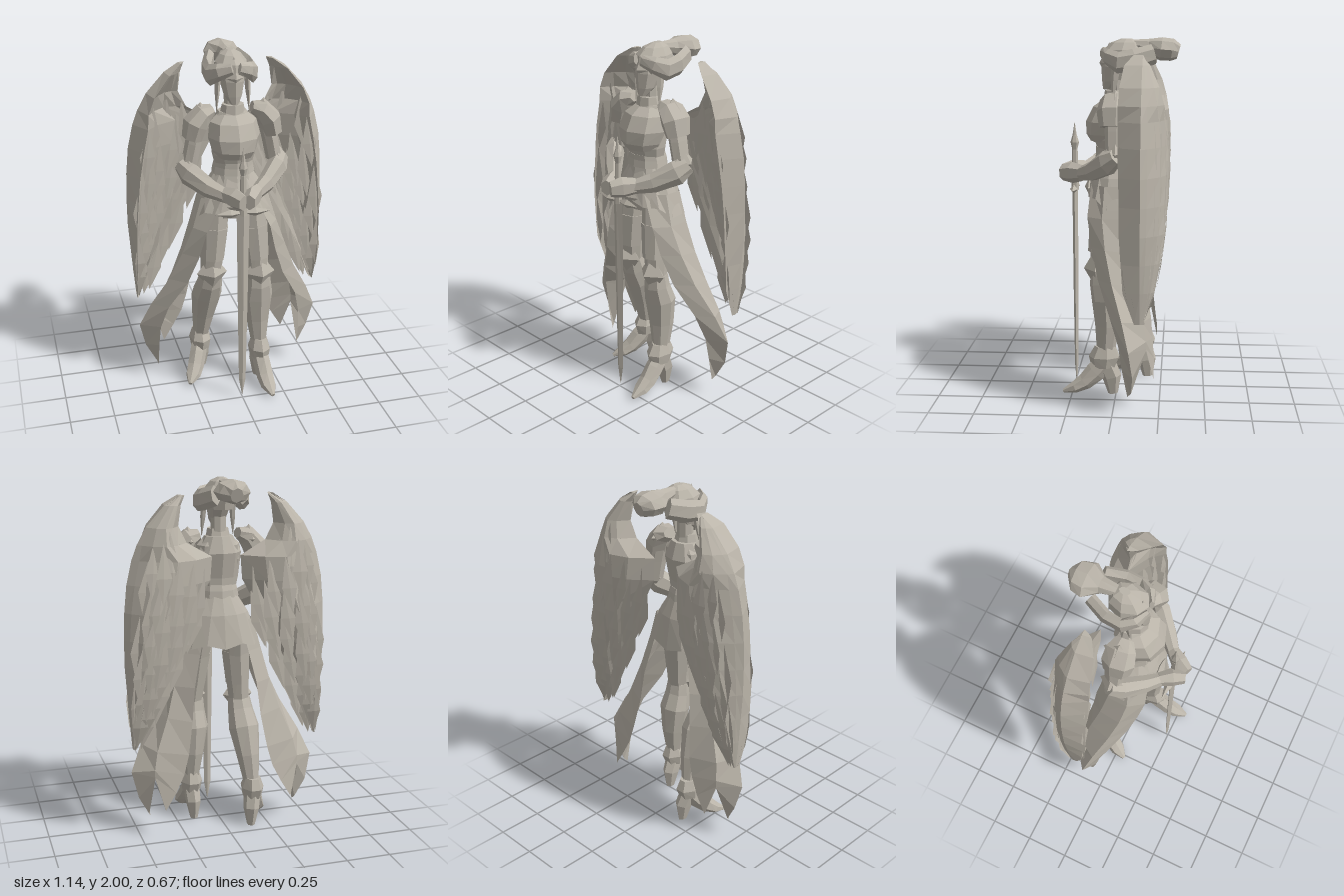
import * as THREE from 'three';

const stone = new THREE.MeshStandardMaterial({ color: 0xbab4a9, flatShading: true, side: THREE.DoubleSide });
stone.name = 'stone';
const V = (x, y, z) => new THREE.Vector3(x, y, z);
const mix = (a, b, t) => a + (b - a) * t;

// flat-shaded mesh from a list of triangle corners
function facets(name, pts) {
  const g = new THREE.BufferGeometry().setFromPoints(pts);
  g.computeVertexNormals();
  const m = new THREE.Mesh(g, stone);
  m.name = name;
  return m;
}

// skin between rings of points; closed rings get end caps and face outward
function loft(name, rings, closed = true) {
  const tris = [], n = rings[0].length;
  for (let r = 0; r < rings.length - 1; r++)
    for (let i = 0; i < (closed ? n : n - 1); i++) {
      const j = (i + 1) % n, A = rings[r], B = rings[r + 1];
      tris.push(A[i], B[i], B[j], A[i], B[j], A[j]);
    }
  if (closed) {
    const L = rings[rings.length - 1];
    for (let i = 1; i < n - 1; i++) tris.push(rings[0][0], rings[0][i], rings[0][i + 1], L[0], L[i + 1], L[i]);
    let vol = 0;
    for (let i = 0; i < tris.length; i += 3) vol += tris[i].dot(V().crossVectors(tris[i + 1], tris[i + 2]));
    if (vol < 0) tris.reverse();
  }
  return facets(name, tris);
}

// solid along stations [x, y, z, half width, half depth], with a ridge on the front
function limb(name, st, sides = 8) {
  const c = st.map(s => V(s[0], s[1], s[2]));
  const whole = c[c.length - 1].clone().sub(c[0]).normalize();
  const ref = Math.abs(whole.z) > 0.6 ? V(0, 1, 0) : V(0, 0, 1);
  return loft(name, st.map((s, k) => {
    const t = c[Math.min(k + 1, c.length - 1)].clone().sub(c[Math.max(k - 1, 0)]).normalize();
    const a = V().crossVectors(t, ref).normalize(), b = V().crossVectors(a, t);
    return Array.from({ length: sides }, (_, i) => {
      const q = i / sides * Math.PI * 2;
      return c[k].clone().addScaledVector(a, Math.sin(q) * s[3]).addScaledVector(b, Math.cos(q) * s[4]);
    });
  }));
}

// upright solid on level rings [y, half width, half depth, centre z]
function upright(name, st, sides = 10, x = 0) {
  return loft(name, st.map(([y, rx, rz, z]) => Array.from({ length: sides }, (_, i) => {
    const q = i / sides * Math.PI * 2;
    return V(x + Math.sin(q) * rx, y, z + Math.cos(q) * rz);
  })));
}

// pointed plate
function gem(name, x, y, z, a, b, c) {
  const m = new THREE.Mesh(new THREE.OctahedronGeometry(1), stone);
  m.name = name;
  m.position.set(x, y, z);
  m.scale.set(a, b, c);
  return m;
}

// wing levels: y, inner x, outer x, back z, front z
const WING = [
  [1.91, 0.23, 0.26, -0.13, -0.1], [1.86, 0.25, 0.34, -0.19, -0.055], [1.75, 0.265, 0.44, -0.24, -0.035],
  [1.66, 0.22, 0.49, -0.265, -0.03], [1.58, 0.08, 0.52, -0.28, -0.03], [1.45, 0.09, 0.55, -0.288, -0.03],
  [1.3, 0.17, 0.565, -0.29, -0.035], [1.15, 0.24, 0.57, -0.285, -0.04], [1.0, 0.32, 0.57, -0.275, -0.04],
  [0.85, 0.4, 0.56, -0.255, -0.05], [0.7, 0.46, 0.55, -0.225, -0.06], [0.53, 0.52, 0.535, -0.16, -0.12]];
function wingPoint(y, t, back) {
  let k = 0;
  while (k < WING.length - 2 && WING[k + 1][0] > y) k++;
  const f = THREE.MathUtils.clamp((WING[k][0] - y) / (WING[k][0] - WING[k + 1][0]), 0, 1);
  const [, xi, xo, zb, zf] = WING[k].map((v, i) => mix(v, WING[k + 1][i], f));
  // the front is full near the top and hollow below, behind a rounded leading edge
  const u = Math.min(1, t / 0.85), hollow = THREE.MathUtils.clamp((1.85 - y) / 0.2, 0, 1);
  const front = mix(-0.15, zf, u ** mix(0.7, 3.5, hollow)) - 0.03 * hollow * Math.sin(Math.PI * u);
  return V(mix(xi, xo, t), y, back ? -0.15 + (zb + 0.15) * Math.sin(Math.PI * t) : front);
}

function wing() {
  const g = new THREE.Group();
  g.add(loft('wingShell', WING.map(([y]) => [
    ...[0, 0.25, 0.5, 0.75, 0.92, 1].map(t => wingPoint(y, t, true)),
    ...[0.85, 0.7, 0.45, 0.2].map(t => wingPoint(y, t, false))])));
  // overlapping rows of long feathers on both faces, hanging past the inner edge
  const tris = [];
  for (const back of [true, false])
    for (let row = 0; row < 7; row++)
      for (let i = 0; i < 5; i++) {
        const t = 0.03 + (i + (row % 2) * 0.45) / 5.6;
        const y = 1.7 - row * 0.14 - 0.04 * Math.sin(i * 2.3 + row);
        const y1 = Math.max(0.53, y - 0.34 - 0.05 * Math.sin(i * 4.1 + row * 1.7));
        const out = back ? -0.007 : 0.007, b = wingPoint(y, t, back), e = wingPoint(y1, t, back);
        const tip = V(Math.min(mix(b.x, e.x, 0.5) + 0.01, wingPoint(y1, 1, back).x), y1, e.z + out);
        const mid = wingPoint(mix(y, y1, 0.55), t, back), edge = wingPoint(mid.y, 1, back).x - 0.005;
        mid.x = Math.min(mix(b.x, tip.x, 0.55), edge);
        mid.z += out;
        const l = mid.clone(), r = mid.clone();
        l.x -= 0.045;
        r.x = Math.min(r.x + 0.04, edge);
        l.z -= out * 0.6;
        r.z -= out * 0.6;
        tris.push(b, l, mid, l, tip, mid, b, mid, r, mid, tip, r);
      }
  g.add(facets('feathers', tris));
  return g;
}

// long coat tail; four edges run from the hip to two ragged tips
function coatTail() {
  const rows = [
    [[0.1, 1.2, 0.14], [0.19, 1.2, 0.06], [0.19, 1.2, -0.04], [0.1, 1.2, -0.1]],
    [[0.18, 1.03, 0.155], [0.24, 1.03, 0.07], [0.235, 1.03, -0.05], [0.14, 1.03, -0.12]],
    [[0.22, 0.87, 0.13], [0.3, 0.87, 0.05], [0.28, 0.85, -0.08], [0.18, 0.85, -0.15]],
    [[0.28, 0.7, 0.09], [0.37, 0.7, 0.01], [0.33, 0.68, -0.12], [0.2, 0.66, -0.17]],
    [[0.38, 0.52, 0.02], [0.47, 0.52, -0.05], [0.4, 0.5, -0.16], [0.23, 0.48, -0.2]],
    [[0.42, 0.37, -0.03], [0.535, 0.37, -0.09], [0.42, 0.4, -0.18], [0.26, 0.37, -0.21]],
    [[0.43, 0.24, -0.05], [0.5, 0.22, -0.11], [0.42, 0.36, -0.18], [0.31, 0.27, -0.22]],
    [[0.43, 0.09, -0.08], [0.44, 0.11, -0.1], [0.42, 0.35, -0.18], [0.37, 0.17, -0.22]]];
  return loft('coatTail', rows.map(r => r.map(p => V(...p))), false);
}

function arm() {
  const g = new THREE.Group();
  g.add(limb('pauldron', [[0.11, 1.68, 0, 0.03, 0.05], [0.16, 1.665, 0.005, 0.055, 0.08], [0.205, 1.61, 0.01, 0.068, 0.09], [0.225, 1.53, 0.01, 0.055, 0.075]], 7));
  g.add(gem('pauldronCrest', 0.175, 1.65, 0, 0.075, 0.075, 0.085));
  g.add(limb('upperArm', [[0.19, 1.6, 0, 0.045, 0.055], [0.215, 1.5, 0, 0.045, 0.055], [0.24, 1.38, 0, 0.045, 0.05]], 7));
  g.add(gem('elbowGuard', 0.25, 1.39, -0.005, 0.06, 0.08, 0.07));
  g.add(limb('forearm', [[0.285, 1.38, -0.01, 0.04, 0.045], [0.25, 1.34, 0.04, 0.055, 0.07], [0.16, 1.28, 0.13, 0.048, 0.055], [0.07, 1.25, 0.21, 0.032, 0.038]], 7));
  g.add(limb('hand', [[0.09, 1.26, 0.19, 0.035, 0.045], [0.045, 1.255, 0.25, 0.048, 0.06], [0.015, 1.25, 0.31, 0.035, 0.045]], 6));
  return g;
}

// leg from hip to knee to ankle, then a heeled boot toward the toe
function leg(name, hip, knee, ankle, toe) {
  const g = new THREE.Group();
  g.name = name;
  const at = (p, q, t, rx, rz, bow = 0) => [mix(p[0], q[0], t), mix(p[1], q[1], t), mix(p[2], q[2], t) + bow, rx, rz];
  g.add(limb('thigh', [at(hip, knee, 0, 0.085, 0.1), at(hip, knee, 0.45, 0.075, 0.085, 0.01), at(hip, knee, 1, 0.06, 0.06)]));
  g.add(limb('thighPlate', [at(hip, knee, 0.3, 0.082, 0.092, 0.01), at(hip, knee, 0.75, 0.07, 0.08, 0.01)]));
  g.add(gem('kneeGuard', knee[0], knee[1] + 0.02, knee[2] + 0.03, 0.088, 0.12, 0.07));
  g.add(limb('greave', [at(knee, ankle, -0.02, 0.066, 0.06), at(knee, ankle, 0.12, 0.075, 0.07), at(knee, ankle, 0.3, 0.09, 0.083, -0.02),
    at(knee, ankle, 0.6, 0.068, 0.07, -0.02), at(knee, ankle, 1, 0.038, 0.045)]));
  g.add(upright('ankleCuff', [[0.28, 0.045, 0.06, ankle[2]], [0.22, 0.065, 0.09, ankle[2] + 0.005], [0.16, 0.055, 0.07, ankle[2] + 0.01]], 7, ankle[0]));
  // the boot drops steeply over the instep, then runs flat to the toe
  const boot = (t, y, rx, rz) => [mix(ankle[0], toe[0], t), y, mix(ankle[2], toe[2], t), rx, rz];
  g.add(limb('boot', [boot(0, 0.19, 0.048, 0.055), boot(0.22, 0.13, 0.05, 0.06), boot(0.48, 0.07, 0.05, 0.048), boot(0.72, 0.038, 0.045, 0.034), boot(1, 0.014, 0.012, 0.01)], 7));
  const dx = (toe[0] - ankle[0]) * 0.15, dz = (toe[2] - ankle[2]) * 0.15;
  g.add(limb('heel', [[ankle[0], 0.19, ankle[2], 0.048, 0.055], [ankle[0] - dx, 0.1, ankle[2] - dz, 0.044, 0.055], [ankle[0] - dx * 1.2, 0, ankle[2] - dz * 1.2, 0.022, 0.028]], 6));
  return g;
}

export function createModel() {
  const model = new THREE.Group();
  model.name = 'wingedKnight';

  // torso, breastplate and collar
  model.add(upright('torso', [[1.08, 0.12, 0.1, 0.02], [1.2, 0.15, 0.12, 0.02], [1.36, 0.1, 0.085, 0.02], [1.44, 0.12, 0.1, 0.03], [1.58, 0.13, 0.11, 0.01], [1.67, 0.08, 0.07, 0]]));
  model.add(upright('breastplate', [[1.43, 0.105, 0.1, 0.05], [1.47, 0.125, 0.12, 0.055], [1.54, 0.145, 0.13, 0.045], [1.62, 0.13, 0.11, 0.025], [1.66, 0.08, 0.07, 0.01]], 8));
  model.add(upright('collar', [[1.64, 0.075, 0.07, 0.01], [1.71, 0.06, 0.055, 0.015]], 8));
  model.add(upright('neck', [[1.66, 0.045, 0.045, 0], [1.78, 0.045, 0.045, 0]], 8));
  model.add(upright('waistBand', [[1.33, 0.12, 0.105, 0.02], [1.37, 0.112, 0.1, 0.02], [1.4, 0.105, 0.095, 0.025]]));

  // hip skirt, raised at the front
  model.add(loft('hipSkirt', [[1.34, 0.105, 0.09, 0], [1.24, 0.17, 0.13, 0], [1.08, 0.235, 0.16, 0.08]].map(([y, rx, rz, lift]) =>
    Array.from({ length: 15 }, (_, i) => {
      const q = i / 14 * Math.PI * 2, c = Math.max(0, Math.cos(q));
      return V(Math.sin(q) * rx, y + lift * c - (lift && i % 2 ? 0.025 : 0), 0.01 + Math.cos(q) * rz);
    })), false));
  model.add(gem('buckle', 0, 1.17, 0.16, 0.07, 0.05, 0.025));

  // face, visor, domed helmet and swept-back crest
  model.add(upright('face', [[1.715, 0.02, 0.025, 0.055], [1.76, 0.05, 0.06, 0.025], [1.84, 0.07, 0.09, 0], [1.9, 0.07, 0.09, -0.01]], 8));
  model.add(gem('visor', 0, 1.86, 0.045, 0.07, 0.11, 0.055));
  model.add(upright('helmet', [[1.82, 0.075, 0.08, -0.04], [1.88, 0.1, 0.11, -0.025], [1.93, 0.088, 0.108, -0.03], [1.97, 0.058, 0.075, -0.04], [1.99, 0.02, 0.03, -0.05]], 8));
  model.add(limb('crest', [[0, 1.96, -0.08, 0.03, 0.025], [0, 1.945, -0.17, 0.045, 0.045], [0, 1.935, -0.24, 0.1, 0.063], [0, 1.93, -0.3, 0.085, 0.06], [0, 1.92, -0.335, 0.035, 0.04]]));

  // mirrored parts
  for (const s of [1, -1]) {
    const side = s > 0 ? 'left' : 'right', half = new THREE.Group();
    half.name = side + 'Half';
    const w = wing(), a = arm();
    w.name = side + 'Wing';
    a.name = side + 'Arm';
    half.add(w, a, coatTail());
    half.add(limb('brim', [[0.02, 1.915, 0.085, 0.012, 0.03], [0.08, 1.895, 0.05, 0.028, 0.045], [0.12, 1.865, -0.01, 0.028, 0.058], [0.115, 1.88, -0.1, 0.03, 0.06], [0.075, 1.91, -0.2, 0.03, 0.055]], 6));
    half.add(limb('hairLock', [[0.08, 1.86, 0, 0.018, 0.03], [0.085, 1.77, 0.01, 0.014, 0.022], [0.09, 1.67, 0.02, 0.002, 0.003]], 5));
    half.add(gem('guardArm', 0.07, 1.165, 0.24, 0.085, 0.025, 0.022));
    half.scale.x = s;
    model.add(half);
  }

  // legs, the left one stepping forward
  model.add(leg('leftLeg', [0.1, 1.14, 0.03], [0.135, 0.71, 0.08], [0.15, 0.2, 0.06], [0.17, 0, 0.3]));
  model.add(leg('rightLeg', [-0.1, 1.14, 0.01], [-0.13, 0.71, 0.02], [-0.165, 0.2, -0.135], [-0.27, 0, 0.06]));

  // sword held point down
  model.add(upright('blade', [[1.17, 0.036, 0.016, 0.24], [0.6, 0.028, 0.014, 0.24], [0.12, 0.02, 0.01, 0.24], [0.015, 0.002, 0.002, 0.24]], 4));
  model.add(upright('grip', [[1.15, 0.022, 0.022, 0.24], [1.38, 0.016, 0.016, 0.24]], 6));
  model.add(upright('pommel', [[1.37, 0.012, 0.012, 0.24], [1.42, 0.024, 0.024, 0.24], [1.46, 0.012, 0.012, 0.24], [1.53, 0.001, 0.001, 0.24]], 6));
  return model;
}
